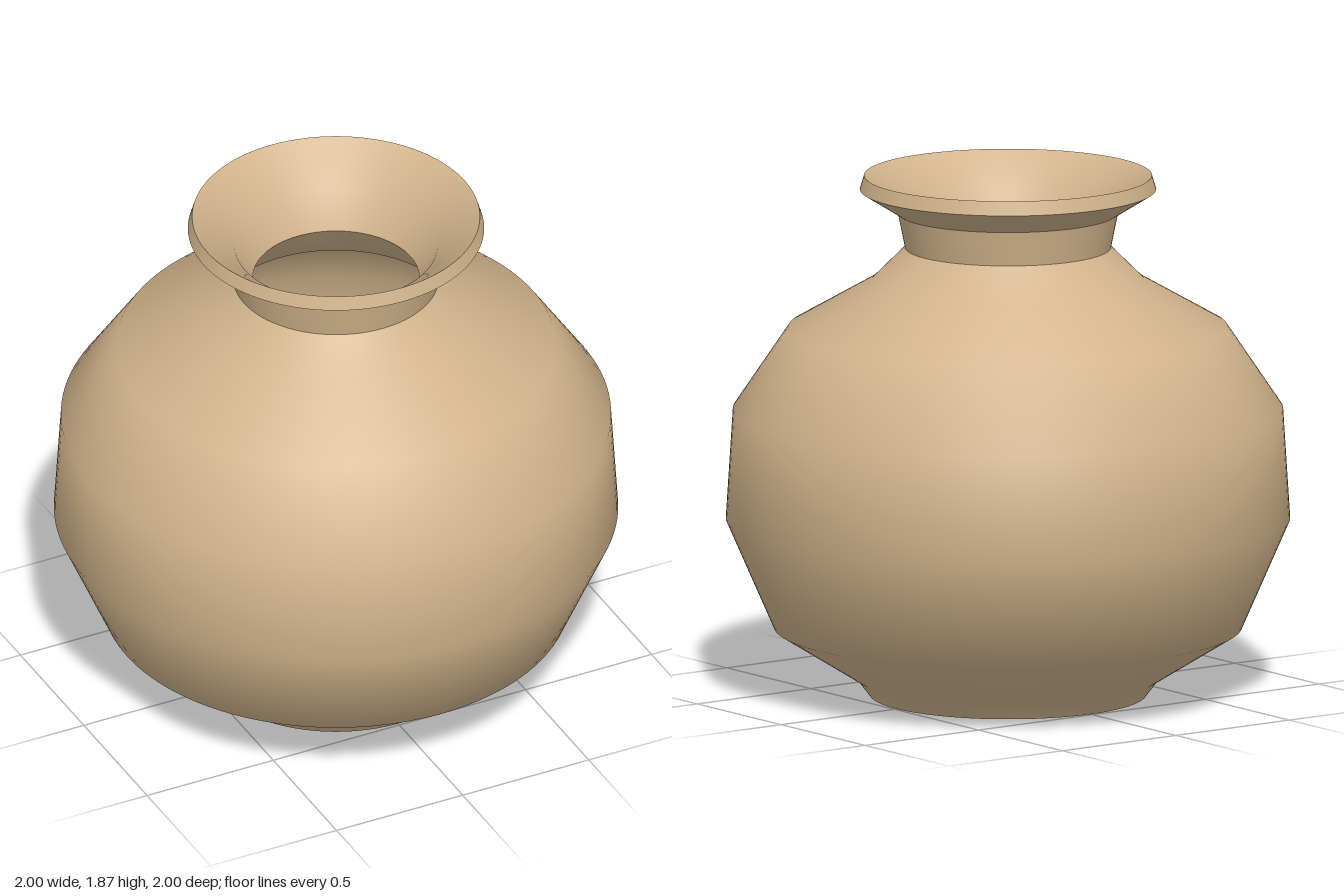
import * as THREE from 'three';
import { toCreasedNormals } from 'three/addons/utils/BufferGeometryUtils.js';

const clay = new THREE.MeshStandardMaterial({ color: 0xd2b48c });
clay.name = 'tan clay';

// Turned part: smooth around the belly, sharp at the foot, neck and rim
function turned(name, profile) {
  const points = profile.map(([r, y]) => new THREE.Vector2(r, y));
  const geometry = toCreasedNormals(new THREE.LatheGeometry(points, 128), 0.7);
  const mesh = new THREE.Mesh(geometry, clay);
  mesh.name = name;
  return mesh;
}

export function createModel() {
  const vase = new THREE.Group();
  vase.name = 'vase';

  // Outside from the foot up to the rim, then back down the hollow inside
  vase.add(turned('vaseBody', [
    [0, 0], [0.49, 0], [0.535, 0.06], [0.83, 0.245], [1, 0.635], [0.975, 1.03],
    [0.78, 1.32], [0.485, 1.49], [0.365, 1.61], [0.39, 1.735], [0.525, 1.82], [0.51, 1.87],
    [0.36, 1.75], [0.295, 1.61],
    [0.44, 1.43], [0.73, 1.26], [0.9, 1.01], [0.925, 0.645], [0.77, 0.3], [0.49, 0.12], [0, 0.08],
  ]));
  return vase;
}
